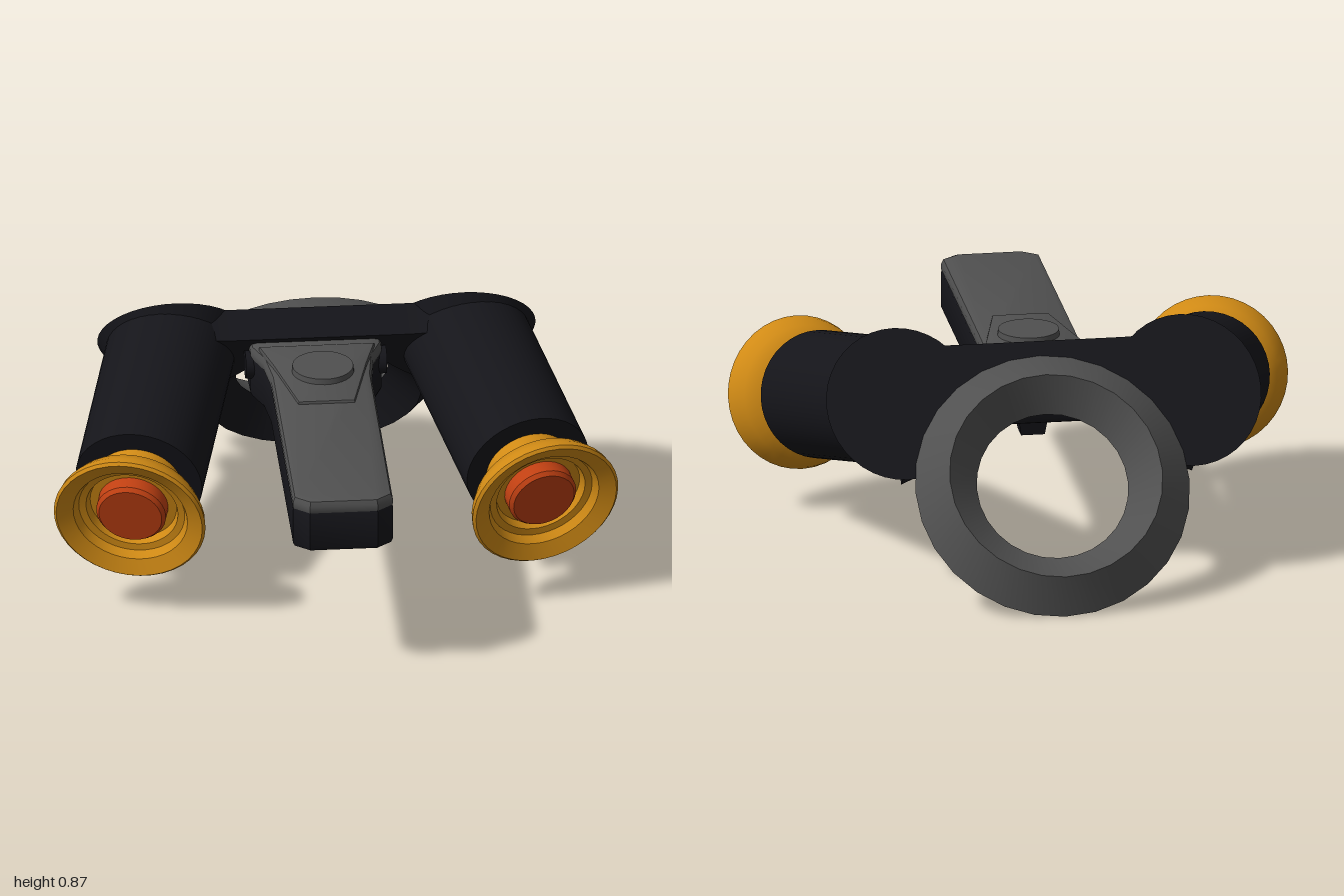
import * as THREE from 'three';
import { toCreasedNormals } from 'three/addons/utils/BufferGeometryUtils.js';

const mat = (color) => new THREE.MeshStandardMaterial({ color });
const V2 = (x, y) => new THREE.Vector2(x, y);

export function createModel() {
  const root = new THREE.Group();
  const black = mat(0x15151a), grey = mat(0x505050), amber = mat(0xd08a15), orange = mat(0xc04012);

  function add(parent, name, geo, material, crease = 0.6) {
    const mesh = new THREE.Mesh(toCreasedNormals(geo, crease), material);
    mesh.name = name;
    parent.add(mesh);
    return mesh;
  }
  const lathe = (pts, n) => new THREE.LatheGeometry(pts.map(([r, y]) => V2(r, y)), n);

  // Tilted back plate: local z points forward and down, local y up along the plate
  const plate = new THREE.Group();
  plate.name = 'backPlate';
  plate.position.set(0, 0.65, -0.455);
  plate.rotation.x = 0.664;
  root.add(plate);

  // Bridge web between the two end discs
  const web = new THREE.Shape();
  web.moveTo(-0.52, 0.25);
  web.quadraticCurveTo(-0.4, 0.21, -0.3, 0.21);
  web.lineTo(0.3, 0.21);
  web.quadraticCurveTo(0.4, 0.21, 0.52, 0.25);
  web.lineTo(0.52, -0.26);
  web.quadraticCurveTo(0.36, -0.2, 0.24, -0.02);
  web.lineTo(-0.24, -0.02);
  web.quadraticCurveTo(-0.36, -0.2, -0.52, -0.26);
  add(plate, 'bridge', new THREE.ExtrudeGeometry(web, { depth: 0.12, bevelEnabled: false, curveSegments: 8 }), black);

  // Ring with a diamond section: grey back half, black front half
  for (const [name, pts, m] of [
    ['ringBack', [[0.49, 0], [0.38, 0.11], [0.27, 0]], grey],
    ['ringFront', [[0.27, 0], [0.38, -0.11], [0.49, 0]], black],
  ]) {
    const ring = add(plate, name, lathe(pts, 28).rotateX(-Math.PI / 2), m);
    ring.position.set(0, -0.335, 0);
  }

  // Barrels with flared back discs, eyecups and lenses
  const plateNormal = new THREE.Vector3(0, 0.616, -0.788);
  for (const side of [-1, 1]) {
    const label = side > 0 ? 'left' : 'right';
    const disc = add(plate, label + 'EndDisc',
      new THREE.CylinderGeometry(0.285, 0.235, 0.09, 40).rotateX(-Math.PI / 2).scale(0.93, 1, 1), black);
    disc.position.set(side * 0.512, 0, 0.045);

    // Local y runs forward along the barrel axis, starting at its front end
    const unit = new THREE.Group();
    unit.name = label + 'Barrel';
    unit.position.set(side * 0.69, 0.455, 0.265);
    unit.quaternion.setFromUnitVectors(new THREE.Vector3(0, 1, 0),
      new THREE.Vector3(side * 0.243, -0.262, 0.935).normalize());
    root.add(unit);

    // Cut the back end of the tube along the plate plane
    const inv = unit.quaternion.clone().invert();
    const n = plateNormal.clone().applyQuaternion(inv);
    const p = new THREE.Vector3(side * 0.512, 0.645, -0.445).sub(unit.position).applyQuaternion(inv);
    const tube = new THREE.CylinderGeometry(0.227, 0.227, 0.7, 40).translate(0, -0.35, 0);
    const pos = tube.attributes.position;
    for (let i = 0; i < pos.count; i++) {
      if (pos.getY(i) > -0.3) continue;
      pos.setY(i, p.y - (n.x * (pos.getX(i) - p.x) + n.z * (pos.getZ(i) - p.z)) / n.y);
    }
    add(unit, 'barrelTube', tube, black);

    add(unit, 'eyecup', lathe([
      [0.155, -0.02], [0.155, 0.075], [0.2, 0.09], [0.24, 0.12], [0.265, 0.165], [0.272, 0.195],
      [0.262, 0.205], [0.205, 0.18], [0.19, 0.15], [0.165, 0.145], [0.155, 0.115], [0, 0.115],
    ], 40), amber);
    add(unit, 'lens', lathe([[0.125, 0.11], [0.125, 0.165], [0.113, 0.18], [0, 0.18]], 32), orange);
  }

  // Handle: layers drawn from above (shape y is z) and extruded downward from a top height
  const handle = new THREE.Group();
  handle.name = 'handle';
  handle.position.x = -0.02;
  root.add(handle);
  function layer(name, half, top, height, bevel, material) {
    const pts = [...half, ...half.slice().reverse().map(([x, z]) => [-x, z])].map(([x, z]) => V2(x, z));
    const geo = new THREE.ExtrudeGeometry(new THREE.Shape(pts), {
      depth: height - 2 * bevel, bevelEnabled: bevel > 0, bevelThickness: bevel,
      bevelSize: bevel, bevelOffset: -bevel, bevelSegments: 2,
    });
    add(handle, name, geo.rotateX(Math.PI / 2).translate(0, top - bevel, 0), material);
  }
  const outline = [[0.235, -0.36], [0.232, -0.23], [0.195, -0.14], [0.178, 0], [0.177, 0.92], [0.12, 0.965]];
  layer('handleBody', outline, 0.685, 0.17, 0.02, black);
  layer('handleTop', outline, 0.72, 0.07, 0.025, grey);
  layer('buttonPanel', [[0.205, -0.2], [0.165, -0.05], [0.1, 0.23]], 0.732, 0.05, 0.008, grey);
  const button = add(handle, 'button', new THREE.CylinderGeometry(0.108, 0.113, 0.05, 32), grey);
  button.position.set(0.005, 0.728, 0);

  // Hinge across the hub
  const hinge = add(handle, 'hinge', new THREE.CylinderGeometry(0.05, 0.05, 0.5, 20).rotateZ(Math.PI / 2), black);
  hinge.position.set(0, 0.635, -0.25);

  // Tapered trigger under the handle
  const trigger = add(handle, 'trigger',
    new THREE.CylinderGeometry(0.095, 0.06, 0.16, 4).rotateY(Math.PI / 4), black);
  trigger.position.set(0, 0.46, -0.03);

  return root;
}
